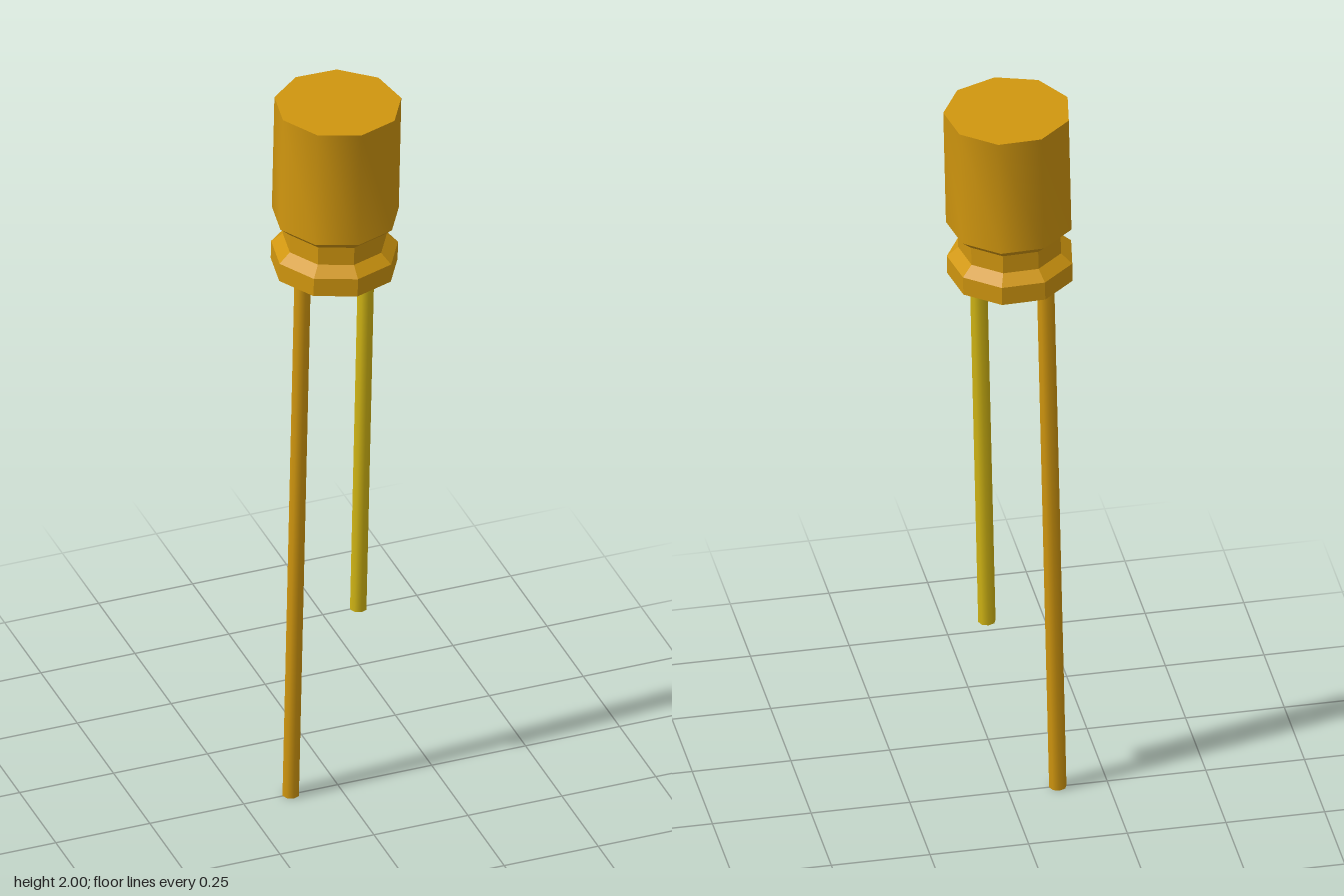
import * as THREE from 'three';
import { toCreasedNormals } from 'three/addons/utils/BufferGeometryUtils.js';

const SIDES = 9;
const BODY_X = -0.039;
const BODY_Z = -0.005;
const TILT = 0.021;

const orange = new THREE.MeshStandardMaterial({ color: 0xd0960f });
const orangeFlat = new THREE.MeshStandardMaterial({ color: 0xd0960f });
orangeFlat.flatShading = true;
const yellow = new THREE.MeshStandardMaterial({ color: 0xd0b414 });
const teal = new THREE.MeshStandardMaterial({ color: 0x2f9080 });

// Nine-sided turned part from [radius, height] pairs, listed bottom to top
function turned(name, profile, material) {
  const points = profile.map(([r, y]) => new THREE.Vector2(r, y));
  const geometry = toCreasedNormals(new THREE.LatheGeometry(points, SIDES), 0.75);
  const mesh = new THREE.Mesh(geometry, material);
  mesh.name = name;
  mesh.position.set(BODY_X, 0, BODY_Z);
  return mesh;
}

// Straight wire from the base of the body down to height `bottom`, with a dark cut end
function lead(name, x, bottom, material) {
  const group = new THREE.Group();
  group.name = name;
  const top = 1.535;
  const radius = 0.022;
  const wire = new THREE.Mesh(
    new THREE.CylinderGeometry(radius, radius, top - bottom, 8, 1, true), material);
  wire.name = name + 'Wire';
  wire.position.set(x, (top + bottom) / 2, 0);
  const end = new THREE.Mesh(new THREE.CircleGeometry(radius, 8), teal);
  end.name = name + 'CutEnd';
  end.rotation.x = Math.PI / 2;
  end.position.set(x, bottom, 0);
  group.add(wire, end);
  return group;
}

export function createModel() {
  const model = new THREE.Group();
  model.name = 'capacitor';

  // Everything leans slightly towards +x
  const leaning = new THREE.Group();
  leaning.name = 'leaningAssembly';
  leaning.rotation.z = -TILT;
  leaning.position.y = -0.0022;
  model.add(leaning);

  // Base rim and crimped waist
  leaning.add(turned('baseAndWaist',
    [[0, 1.528], [0.16, 1.528], [0.16, 1.578], [0.131, 1.603], [0.131, 1.653], [0.16, 1.678]],
    orangeFlat));

  // Tall can with a flat lid
  leaning.add(turned('can', [[0.16, 1.678], [0.16, 1.998], [0, 1.998]], orange));

  // Long and short wires
  leaning.add(lead('longLead', -0.125, 0, orange));
  leaning.add(lead('shortLead', 0.044, 0.51, yellow));

  return model;
}
